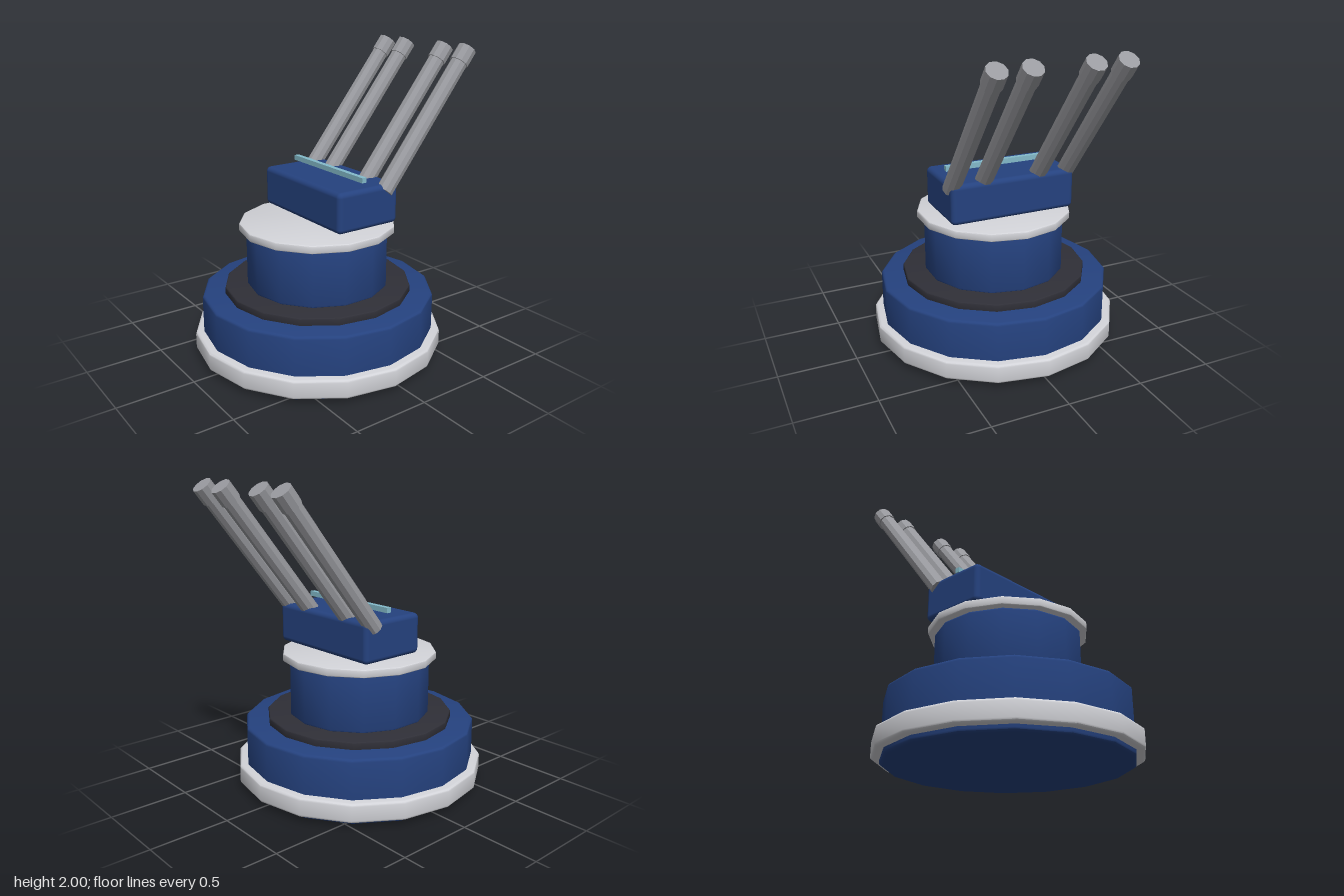
import * as THREE from 'three';
import { toCreasedNormals } from 'three/addons/utils/BufferGeometryUtils.js';
import { RoundedBoxGeometry } from 'three/addons/geometries/RoundedBoxGeometry.js';

const paint = (name, color) => {
  const m = new THREE.MeshStandardMaterial({ color });
  m.name = name;
  return m;
};

export function createModel() {
  const blue = paint('navy blue', 0x25427f);
  const white = paint('pale grey', 0xd2d3d8);
  const dark = paint('charcoal', 0x2f2f37);
  const steel = paint('steel grey', 0x9a9ba0);
  const glass = paint('sight blue', 0x84bbcb);

  const model = new THREE.Group();
  model.name = 'turret';
  const add = (name, geometry, material, x, y, z, parent = model) => {
    const mesh = new THREE.Mesh(geometry, material);
    mesh.name = name;
    mesh.position.set(x, y, z);
    parent.add(mesh);
    return mesh;
  };

  // Many-sided disc with softly rounded rims
  const disc = (name, material, radius, y0, y1, bevel, sides) => {
    const points = [new THREE.Vector2(0, y0)];
    for (const [cy, start] of [[y0 + bevel, -Math.PI / 2], [y1 - bevel, 0]]) {
      for (let i = 0; i <= 3; i++) {
        const a = start + (i / 3) * (Math.PI / 2);
        points.push(new THREE.Vector2(radius - bevel + Math.cos(a) * bevel, cy + Math.sin(a) * bevel));
      }
    }
    points.push(new THREE.Vector2(0, y1));
    const geometry = toCreasedNormals(new THREE.LatheGeometry(points, sides), 0.6);
    add(name, geometry, material, 0, 0, 0.065);
  };

  // Stacked base
  disc('baseDrum', blue, 0.765, 0, 0.413, 0.02, 16);
  disc('baseRing', white, 0.82, 0.035, 0.16, 0.018, 16);
  disc('bearingRing', dark, 0.615, 0.40, 0.46, 0.008, 16);
  disc('pedestal', blue, 0.465, 0.455, 0.83, 0.015, 14);
  disc('turntablePlate', white, 0.51, 0.828, 0.88, 0.008, 14);

  // Gun housing and sight bar
  add('gunHousing', new RoundedBoxGeometry(0.84, 0.26, 0.46, 3, 0.032), blue, 0, 1.04, -0.03);
  add('sightBar', new THREE.BoxGeometry(0.745, 0.033, 0.033), glass, -0.002, 1.21, -0.027);

  // Four raised barrels with muzzle collars
  const tube = (radius, length) => toCreasedNormals(
    new THREE.CylinderGeometry(radius, radius, length, 10, 1, false, Math.PI / 10), 0.5);
  const barrelGeometry = tube(0.055, 0.98);
  const muzzleGeometry = tube(0.0625, 0.11);
  [-0.393, -0.19, 0.185, 0.389].forEach((x, i) => {
    const gun = new THREE.Group();
    gun.name = `gun${i + 1}`;
    gun.position.set(x, 1.123, -0.17);
    gun.rotation.x = -0.672;
    add('barrel', barrelGeometry, steel, 0, 0.49, 0, gun);
    add('muzzle', muzzleGeometry, steel, 0, 1.012, 0, gun);
    model.add(gun);
  });

  return model;
}
